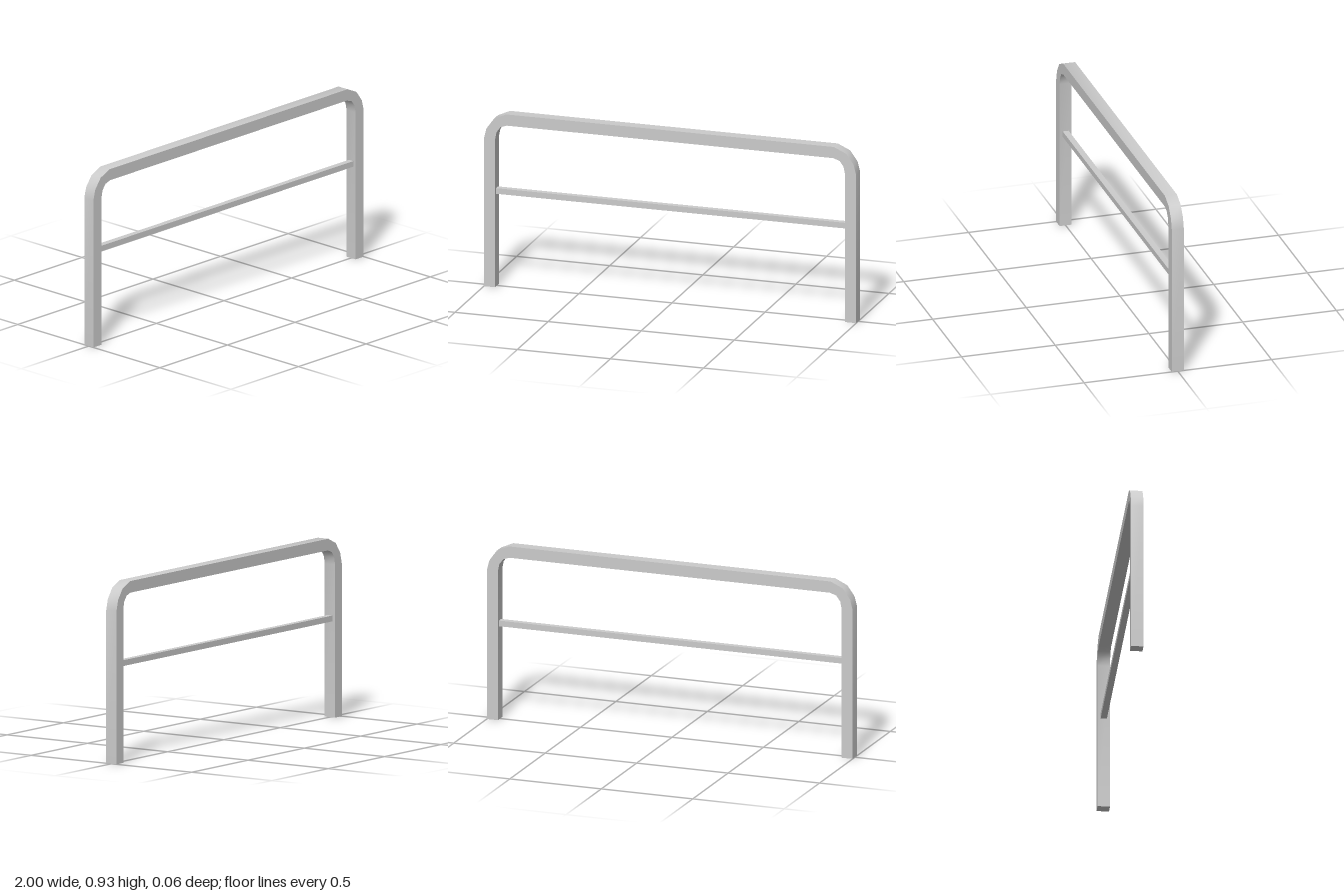
import * as THREE from 'three';
import { toCreasedNormals } from 'three/addons/utils/BufferGeometryUtils.js';

export function createModel() {
  const group = new THREE.Group();
  const material = new THREE.MeshStandardMaterial({ color: 0xcccccc });
  const depth = 0.064;

  // One half of each outline, from the foot up to the top bar
  const outer = [[-1, 0], [-1, 0.79], [-0.986, 0.845], [-0.946, 0.9], [-0.88, 0.93]];
  const inner = [[-0.94, 0], [-0.94, 0.79], [-0.932, 0.829], [-0.911, 0.858], [-0.876, 0.87]];
  const mirrored = (half) => [...half, ...half.map(([x, y]) => [-x, y]).reverse()];

  // Square bar bent into an upside-down U
  const outline = [...mirrored(outer), ...mirrored(inner).reverse()];
  const shape = new THREE.Shape(outline.map(([x, y]) => new THREE.Vector2(x, y)));
  const frameGeometry = new THREE.ExtrudeGeometry(shape, { depth, bevelEnabled: false });
  frameGeometry.translate(0, 0, -depth / 2);
  const frame = new THREE.Mesh(toCreasedNormals(frameGeometry, Math.PI / 4), material);
  frame.name = 'frame';
  group.add(frame);

  // Thin rail between the legs
  const rail = new THREE.Mesh(new THREE.BoxGeometry(1.88, 0.03, 0.032), material);
  rail.name = 'crossRail';
  rail.position.y = 0.51;
  group.add(rail);

  return group;
}
